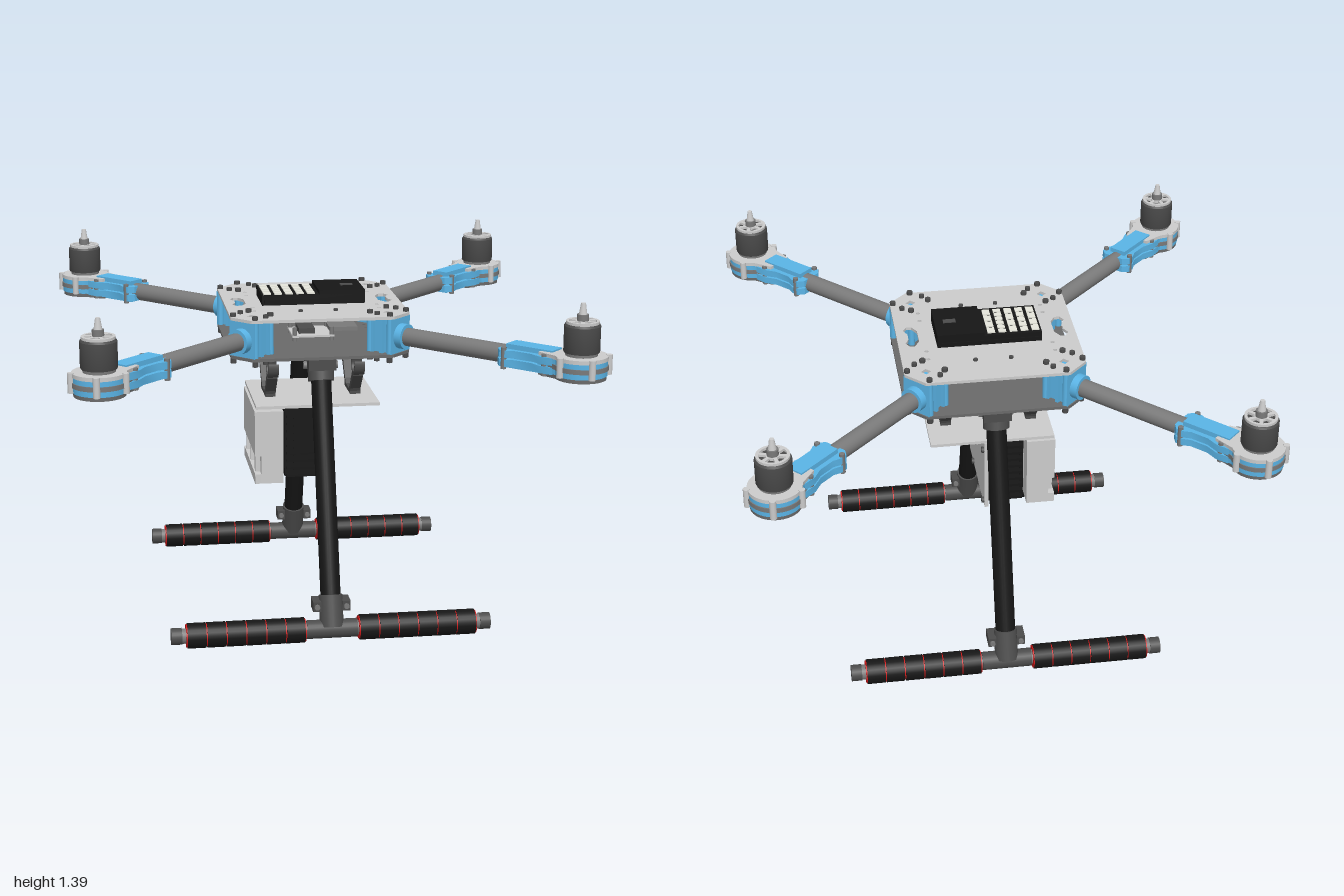
import * as THREE from 'three';
import { toCreasedNormals } from 'three/addons/utils/BufferGeometryUtils.js';

const mat = (c) => new THREE.MeshStandardMaterial({ color: c });
const M = {
  light: mat(0xcccccc), blue: mat(0x5ab4e6), black: mat(0x161616), dark: mat(0x4c4c4c),
  tube: mat(0x7a7a7a), red: mat(0xd01818), carbon: mat(0x6a6a6a), pale: mat(0xe6e6dc),
};
const V = (x, y, z) => new THREE.Vector3(x, y, z);

function add(parent, name, geo, m, x = 0, y = 0, z = 0) {
  const mesh = new THREE.Mesh(geo, m);
  mesh.name = name;
  mesh.position.set(x, y, z);
  parent.add(mesh);
  return mesh;
}
function group(parent, name) {
  const g = new THREE.Group();
  g.name = name;
  parent.add(g);
  return g;
}
// Box given by its minimum and maximum corners
function box(p, name, m, x0, x1, y0, y1, z0, z1) {
  return add(p, name, new THREE.BoxGeometry(x1 - x0, y1 - y0, z1 - z0), m,
    (x0 + x1) / 2, (y0 + y1) / 2, (z0 + z1) / 2);
}
// Cylinder between two points
function rod(p, name, m, a, b, r, seg = 24, r2 = r) {
  const d = b.clone().sub(a);
  const mesh = add(p, name, new THREE.CylinderGeometry(r2, r, d.length(), seg), m);
  mesh.position.copy(a).addScaledVector(d, 0.5);
  mesh.quaternion.setFromUnitVectors(V(0, 1, 0), d.normalize());
  return mesh;
}
const upright = (p, name, m, x, z, y0, y1, r, seg = 12, r2 = r) =>
  rod(p, name, m, V(x, y0, z), V(x, y1, z), r, seg, r2);
const poly = (pts) => new THREE.Shape(pts.map(([x, y]) => new THREE.Vector2(x, y)));
const circle = (x, y, r) => new THREE.Path().absarc(x, y, r, 0, Math.PI * 2, true);
// Horizontal slab: outline in plan, extruded upwards
function slab(p, name, m, shape, y0, y1) {
  const geo = new THREE.ExtrudeGeometry(shape, { depth: y1 - y0, bevelEnabled: false, curveSegments: 16 });
  geo.rotateX(-Math.PI / 2);
  return add(p, name, toCreasedNormals(geo, 0.6), m, 0, y0, 0);
}

// Chamfered frame plate with grip slots, clamp windows and small holes
function framePlate(p, name, m, y) {
  const a = 0.355, c = 0.28;
  const s = poly([[a, -c], [a, c], [c, a], [-c, a], [-a, c], [-a, -c], [-c, -a], [c, -a]]);
  for (const i of [-1, 1]) {
    s.holes.push(poly([[0.27, -0.04], [0.29, -0.075], [0.31, -0.075], [0.325, -0.05], [0.31, -0.02],
      [0.31, 0.02], [0.325, 0.05], [0.31, 0.075], [0.29, 0.075], [0.27, 0.04]].map(([x, z]) => [x * i, z])));
    for (const j of [-1, 1]) {
      s.holes.push(poly([[0.27, 0.25], [0.29, 0.27], [0.27, 0.29], [0.25, 0.27]].map(([x, z]) => [x * i, z * j])));
      s.holes.push(circle(i * 0.25, j * 0.12, 0.008), circle(i * 0.25, j * 0.18, 0.008));
    }
  }
  slab(p, name, m, s, y, y + 0.012);
}

// One arm, pointing along local +x
function buildArm(p) {
  const Y = 1.155, R = 1.253;
  rod(p, 'armTube', M.tube, V(0.33, Y, 0), V(1.16, Y, 0), 0.036);
  // clamp at the frame
  box(p, 'frameClamp', M.blue, 0.335, 0.43, 1.09, 1.228, -0.048, 0.048);
  rod(p, 'clampCollar', M.blue, V(0.42, Y, 0), V(0.475, Y, 0), 0.05);
  for (const x of [0.34, 0.385, 0.43]) box(p, 'clampRib', M.blue, x, x + 0.014, 1.088, 1.23, -0.062, 0.062);
  for (const x of [0.335, 0.43]) for (const z of [-0.055, 0.055]) {
    upright(p, 'frameBolt', M.dark, x, z, 1.055, 1.085, 0.012, 8);
    upright(p, 'frameBolt', M.dark, x, z, 1.235, 1.256, 0.012, 8);
    upright(p, 'clampPost', M.blue, x, z, 1.09, 1.23, 0.013, 10);
  }
  // two-shell clamp at the motor end
  const shell = (k) => poly([[0.92, -0.045], [0.94, -0.068], [0.97, -0.068], [1.0, -0.055], [1.07, -0.055], [1.12, -0.072],
    [1.17, -0.07], [1.17, 0.07], [1.12, 0.072], [1.07, 0.055], [1.0, 0.055], [0.97, 0.068], [0.94, 0.068], [0.92, 0.045]]
    .map(([x, z]) => [x, z * k]));
  slab(p, 'lowerClampShell', M.blue, shell(1), 1.122, 1.15);
  slab(p, 'upperClampShell', M.blue, shell(1), 1.157, 1.185);
  box(p, 'clampCrown', M.blue, 0.95, 1.15, 1.112, 1.204, -0.036, 0.036);
  for (const x of [0.955, 1.13]) for (const z of [-0.06, 0.06]) upright(p, 'clampBolt', M.tube, x, z, 1.112, 1.195, 0.011, 8);
  // motor mount: bulb outline with a neck
  const bulb = (r, n) => {
    const s = new THREE.Shape();
    s.moveTo(1.1, -n);
    s.lineTo(R - r * 0.7, -r * 0.72);
    s.absarc(R, 0, r, -Math.PI * 0.75, Math.PI * 0.75, false);
    s.lineTo(1.1, n);
    return s;
  };
  slab(p, 'mountBody', M.blue, bulb(0.098, 0.055), 1.125, 1.185);
  slab(p, 'mountBand', M.tube, bulb(0.102, 0.05), 1.146, 1.164);
  slab(p, 'mountTop', M.light, bulb(0.1, 0.052), 1.183, 1.198);
  slab(p, 'mountBottom', M.carbon, bulb(0.095, 0.05), 1.11, 1.126);
  for (const t of [-1.9, -0.65, 0.65, 1.9]) {
    upright(p, 'mountLug', M.light, R + 0.103 * Math.cos(t), 0.103 * Math.sin(t), 1.125, 1.2, 0.013, 10);
  }
  // motor: stator base, bell, spoked cap and shaft
  const motor = group(p, 'motor');
  motor.position.x = R;
  upright(motor, 'motorBase', M.tube, 0, 0, 1.195, 1.212, 0.06, 32);
  const prof = [[0, 1.21], [0.066, 1.21], [0.068, 1.215], [0.068, 1.31], [0.063, 1.318], [0, 1.318]]
    .map(([x, y]) => new THREE.Vector2(x, y));
  add(motor, 'motorBell', toCreasedNormals(new THREE.LatheGeometry(prof, 32), 0.5), M.dark);
  const cap = new THREE.Shape().absarc(0, 0, 0.062, 0, Math.PI * 2, false);
  for (let i = 0; i < 6; i++) {
    const t = i * Math.PI / 3, h = new THREE.Path();
    h.absarc(0, 0, 0.051, t + 0.15, t + 0.9, false);
    h.absarc(0, 0, 0.026, t + 0.8, t + 0.25, true);
    cap.holes.push(h);
  }
  slab(motor, 'motorCap', M.light, cap, 1.318, 1.328);
  upright(motor, 'shaftCollar', M.tube, 0, 0, 1.32, 1.352, 0.022, 16);
  upright(motor, 'propShaft', M.light, 0, 0, 1.35, 1.394, 0.016, 16, 0.009);
}

// Landing leg on the +z side
function buildLeg(p) {
  const at = (y) => V(0, y, 0.3 + (0.98 - y) * 0.33);
  rod(p, 'legTube', M.black, at(1.03), at(0.13), 0.04);
  rod(p, 'upperSocket', M.dark, at(1.07), at(0.98), 0.052);
  box(p, 'legBracket', M.dark, -0.055, 0.055, 1.03, 1.082, 0.225, 0.34);
  rod(p, 'bracketPin', M.tube, V(-0.068, 1.04, 0.28), V(0.068, 1.04, 0.28), 0.016, 12);
  rod(p, 'lowerSocket', M.dark, at(0.18), at(0.06), 0.047);
  for (const x of [-0.058, 0.058]) {
    box(p, 'clampEar', M.dark, x - 0.016, x + 0.016, 0.125, 0.165, 0.535, 0.605);
    rod(p, 'earBolt', M.tube, V(x, 0.145, 0.525), V(x, 0.145, 0.615), 0.011, 8);
  }
  const Z = 0.6, Y = 0.051;
  const bar = (name, m, x0, x1, r) => rod(p, name, m, V(x0, Y, Z), V(x1, Y, Z), r);
  bar('skidTube', M.tube, -0.63, 0.63, 0.03);
  bar('teeSleeve', M.dark, -0.1, 0.1, 0.037);
  for (const s of [-1, 1]) {
    bar('foamCore', M.red, s * 0.105, s * 0.574, 0.046);
    for (let i = 0; i < 6; i++) bar('foamGrip', M.black, s * (0.109 + i * 0.0775), s * (0.182 + i * 0.0775), 0.05);
    bar('skidCap', M.dark, s * 0.59, s * 0.632, 0.033);
  }
}

// Slung payload: tray, bracket plate, cooling fins, housing and hooks
function buildPayload(p) {
  box(p, 'tray', M.light, -0.25, 0.25, 0.848, 0.86, -0.21, 0.22);
  box(p, 'bracketPlate', M.light, 0.018, 0.034, 0.54, 0.85, -0.215, 0.22);
  const web = new THREE.ExtrudeGeometry(poly([[0.03, 0.85], [0.03, 0.7], [0.125, 0.85]]), { depth: 0.018, bevelEnabled: false });
  add(p, 'gusset', web, M.light, 0, 0, -0.009);
  for (const y of [0.56, 0.805]) for (const z of [-0.19, 0.095]) {
    rod(p, 'plateBolt', M.dark, V(0.02, y, z), V(0.044, y, z), 0.013, 10);
  }
  box(p, 'finCore', M.black, -0.09, 0.018, 0.56, 0.81, -0.14, 0.14);
  for (let i = 0; i < 9; i++) box(p, 'coolingFin', M.black, -0.125, 0.018, 0.552 + i * 0.031, 0.562 + i * 0.031, -0.19, 0.19);
  for (const z of [-0.15, 0.15]) box(p, 'finPost', M.black, -0.13, -0.115, 0.55, 0.82, z - 0.02, z + 0.02);
  box(p, 'housing', M.light, -0.23, -0.14, 0.535, 0.835, -0.205, 0.21);
  box(p, 'housingUpper', M.light, -0.255, -0.23, 0.65, 0.835, -0.205, 0.21);
  box(p, 'housingLower', M.light, -0.255, -0.23, 0.535, 0.575, -0.205, 0.21);
  box(p, 'housingStep', M.light, -0.14, -0.125, 0.57, 0.72, -0.12, 0.12);
  for (const z of [-0.16, 0, 0.16]) box(p, 'housingRib', M.light, -0.25, -0.23, 0.575, 0.65, z - 0.012, z + 0.012);

  // open hook: a stalk ending in a C-shaped ring
  const s = new THREE.Shape();
  s.absarc(0.143, 1.005, 0.046, 0.4, 2.5, true);
  s.absarc(0.143, 1.005, 0.033, 2.5, 0.4, false);
  const hook = new THREE.ExtrudeGeometry(s, { depth: 0.042, bevelEnabled: false, curveSegments: 24 });
  const stalk = new THREE.ExtrudeGeometry(poly([[0.02, 0.86], [0.07, 0.86], [0.08, 0.885], [0.145, 0.955], [0.12, 0.968], [0.06, 0.895]]),
    { depth: 0.042, bevelEnabled: false });
  for (const x of [-0.175, 0.173]) {
    const pair = group(p, 'hookPair');
    box(pair, 'hookBase', M.dark, x - 0.021, x + 0.021, 0.858, 0.876, -0.075, 0.075);
    for (const side of [0, 1]) {
      const g = group(pair, 'hook');
      g.position.x = x;
      g.rotation.y = side ? Math.PI / 2 : -Math.PI / 2;
      add(g, 'hookRing', hook, M.dark, 0, 0, -0.021);
      add(g, 'hookStalk', stalk, M.dark, 0, 0, -0.021);
    }
  }
}

// Control box on the top plate, with a field of pale connector blocks
function buildController(p) {
  box(p, 'controllerBase', M.black, -0.21, 0.205, 1.246, 1.285, -0.107, 0.107);
  box(p, 'controllerLid', M.black, 0.02, 0.205, 1.28, 1.3, -0.107, 0.107);
  box(p, 'lidMark', M.dark, 0.12, 0.17, 1.299, 1.304, -0.012, 0.012);
  const rows = [4, 5, 4, 6, 4];
  rows.forEach((n, i) => {
    const x = -0.187 + i * 0.044, d = 0.19 / n;
    for (let k = 0; k < n; k++) {
      box(p, 'connector', M.pale, x - 0.015, x + 0.015, 1.28, 1.29, -0.095 + k * d + 0.005, -0.095 + (k + 1) * d - 0.005);
    }
  });
  for (const z of [-0.107, 0.107]) box(p, 'sideRail', M.black, -0.2, 0.19, 1.255, 1.267, z - 0.006, z + 0.006);
}

export function createModel() {
  const model = new THREE.Group();
  model.name = 'quadcopter';
  const frame = group(model, 'frame');
  framePlate(frame, 'topPlate', M.light, 1.23);
  framePlate(frame, 'bottomPlate', M.carbon, 1.077);
  for (const x of [-0.07, 0.07]) for (const z of [-0.215, 0.215]) upright(frame, 'plateScrew', M.dark, x, z, 1.235, 1.25, 0.009, 8);
  for (const i of [-1, 1]) for (const j of [-1, 1]) for (const [x, z] of [[0.31, 0.22], [0.22, 0.31]]) {
    upright(frame, 'cornerScrew', M.dark, i * x, j * z, 1.24, 1.255, 0.011, 8);
    upright(frame, 'cornerScrew', M.dark, i * x, j * z, 1.056, 1.08, 0.011, 8);
  }
  // small circuit board on posts between the plates
  const board = group(model, 'circuitBoard');
  box(board, 'board', M.light, -0.085, 0.085, 1.105, 1.113, -0.085, 0.085);
  box(board, 'powerModule', M.tube, 0.07, 0.185, 1.12, 1.136, -0.05, 0.05);
  box(board, 'chip', M.dark, -0.055, 0.01, 1.113, 1.135, -0.05, 0.05);
  for (const x of [-0.075, 0.075]) for (const z of [-0.075, 0.075]) upright(board, 'boardPost', M.tube, x, z, 1.085, 1.145, 0.009, 10);

  buildController(group(model, 'controller'));
  for (let i = 0; i < 4; i++) {
    const arm = group(model, 'arm');
    arm.rotation.y = Math.PI / 4 + i * Math.PI / 2;
    buildArm(arm);
  }
  for (let i = 0; i < 2; i++) {
    const leg = group(model, 'landingLeg');
    leg.rotation.y = i * Math.PI;
    buildLeg(leg);
  }
  buildPayload(group(model, 'payload'));
  return model;
}
